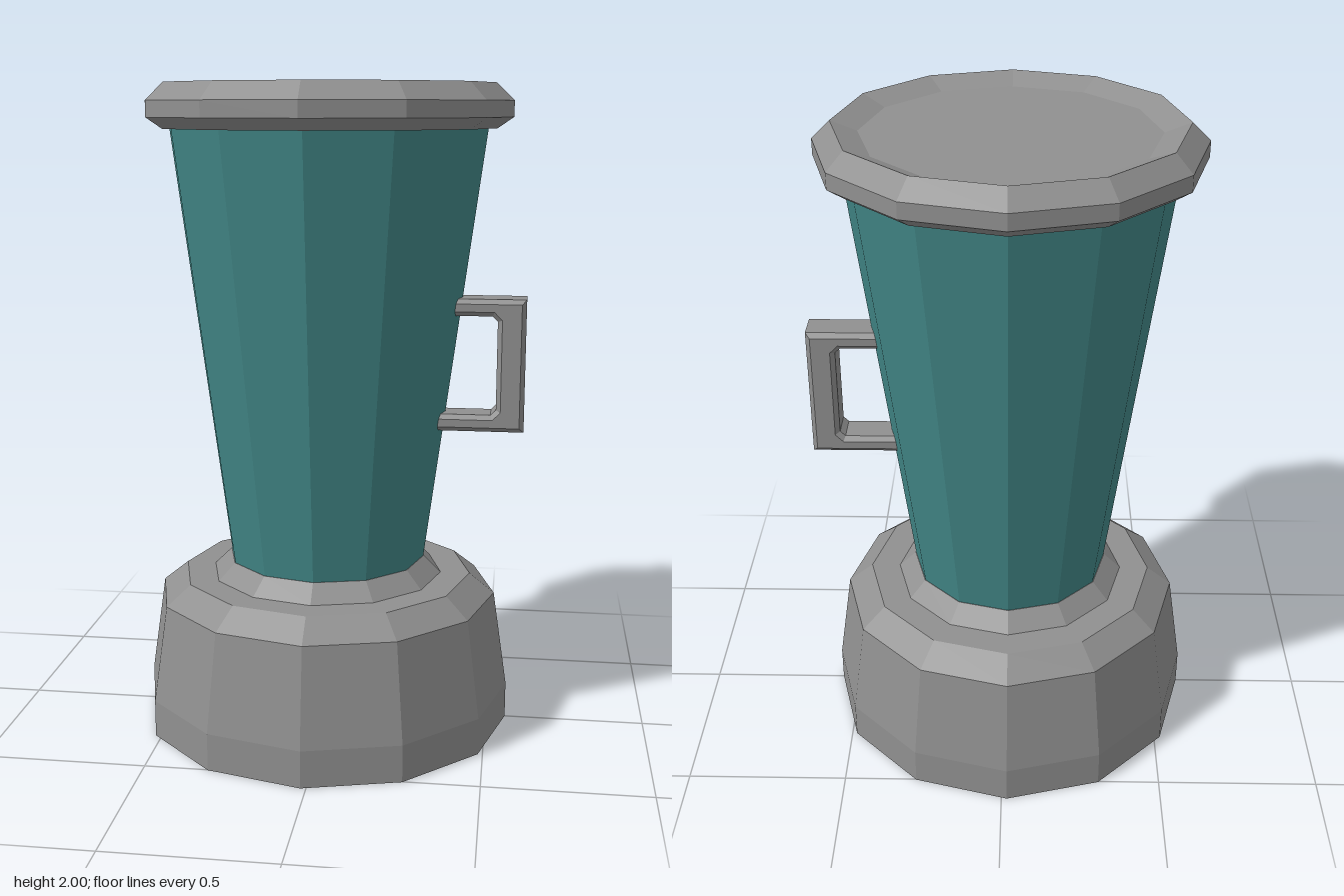
import * as THREE from 'three';

const grey = new THREE.MeshStandardMaterial({ color: 0x909090, flatShading: true });
const teal = new THREE.MeshStandardMaterial({ color: 0x428787, flatShading: true });
const AXIS_X = -0.017; // the turned parts sit slightly off centre to leave room for the handle

// Twelve-sided turned part from [radius, height] pairs, listed bottom to top
function turned(name, profile, material) {
  const points = profile.map(([r, y]) => new THREE.Vector2(r, y));
  const mesh = new THREE.Mesh(new THREE.LatheGeometry(points, 12), material);
  mesh.name = name;
  mesh.position.x = AXIS_X;
  return mesh;
}

// C-shaped grip with chamfered edges, its ends sunk into the jug wall
function makeHandle() {
  const outline = [
    [0.34, 1.362], [0.597, 1.362], [0.597, 0.953], [0.29, 0.953],
    [0.29, 1.005], [0.495, 1.005], [0.511, 1.021],
    [0.511, 1.294], [0.495, 1.31], [0.34, 1.31],
  ].map(([x, y]) => new THREE.Vector2(x, y));
  const bevel = 0.014, width = 0.12;
  const geometry = new THREE.ExtrudeGeometry(new THREE.Shape(outline), {
    depth: width - 2 * bevel,
    bevelEnabled: true,
    bevelThickness: bevel,
    bevelSize: bevel,
    bevelOffset: -bevel,
    bevelSegments: 1,
  });
  geometry.translate(0, 0, bevel - width / 2);
  const mesh = new THREE.Mesh(geometry, grey);
  mesh.name = 'handle';
  return mesh;
}

export function createModel() {
  const model = new THREE.Group();
  model.name = 'blender';
  model.add(
    // Motor base with stepped shoulder and collar
    turned('base', [
      [0, 0], [0.58, 0], [0.58, 0.115], [0.535, 0.418], [0.457, 0.48],
      [0.365, 0.48], [0.311, 0.533], [0, 0.533],
    ], grey),
    // Tapered jug
    turned('jug', [[0.309, 0.53], [0.488, 1.88]], teal),
    // Lid with a chamfered rim and a shallow dish on top
    turned('lid', [
      [0, 1.867], [0.512, 1.867], [0.561, 1.9], [0.561, 1.948],
      [0.507, 2], [0.43, 1.97], [0, 1.97],
    ], grey),
    makeHandle(),
  );
  return model;
}
